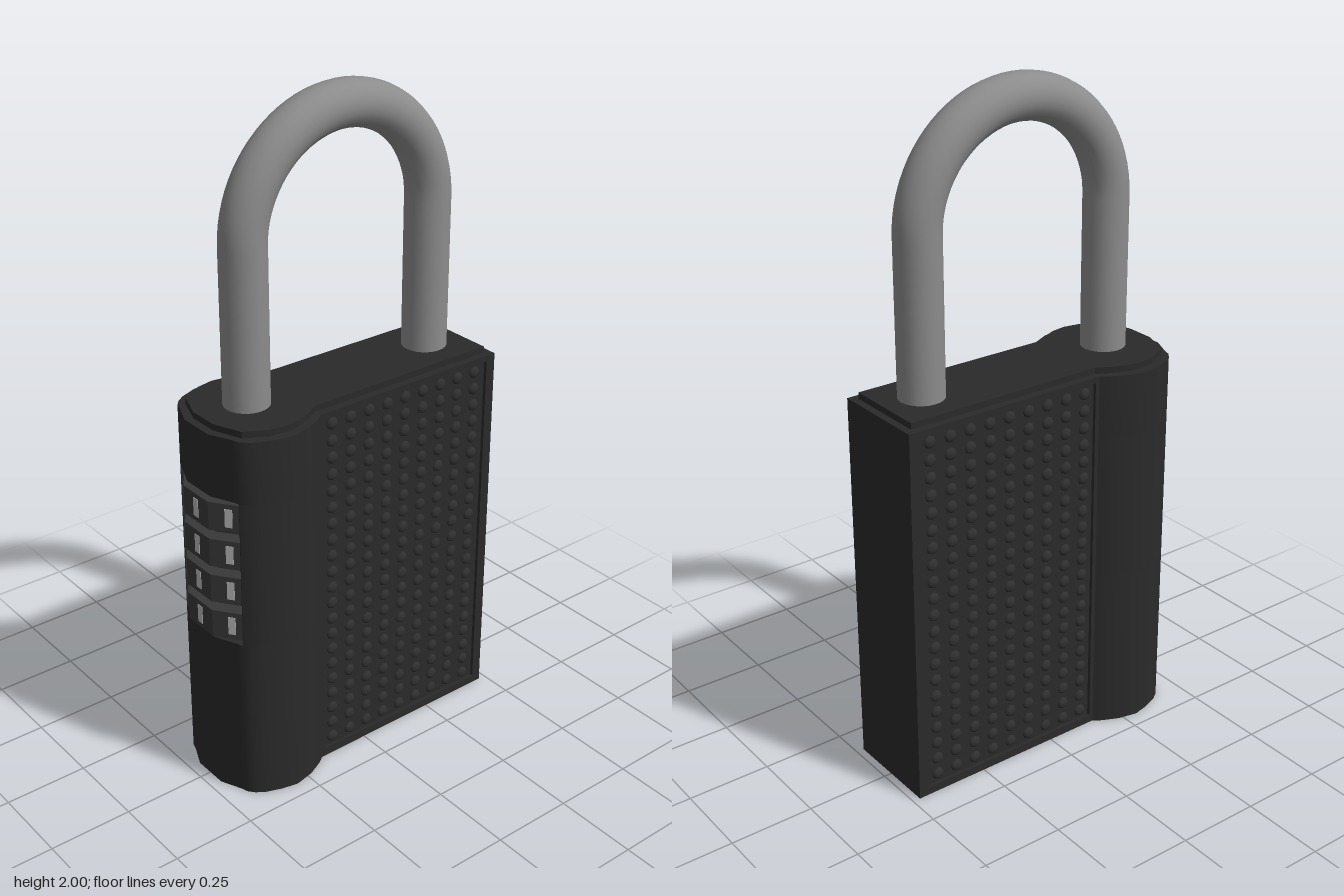
import * as THREE from 'three';
import { mergeGeometries, toCreasedNormals } from 'three/addons/utils/BufferGeometryUtils.js';

const BODY_TOP = 1.147, BARREL_Z = 0.298;

const material = (color, extra = {}) => new THREE.MeshStandardMaterial({ color, ...extra });

function addMesh(parent, name, geometry, mat) {
  const mesh = new THREE.Mesh(geometry, mat);
  mesh.name = name;
  parent.add(mesh);
  return mesh;
}

// Extrudes a mirrored plan outline, given as right half [x, z] from back to front
function slab(half, y0, y1) {
  const mirrored = [...half].reverse().map(([x, z]) => [-x, z]);
  const shape = new THREE.Shape([...half, ...mirrored].map(([x, z]) => new THREE.Vector2(x, -z)));
  const geo = new THREE.ExtrudeGeometry(shape, { depth: y1 - y0, bevelEnabled: false });
  geo.rotateX(-Math.PI / 2).translate(0, y0, 0);
  return toCreasedNormals(geo, 0.5);
}

export function createModel() {
  const group = new THREE.Group();
  const black = material(0x2a2a2a);
  const bumpBlack = material(0x303030);
  const dialBlack = material(0x383838, { flatShading: true });
  const steel = material(0x8c8c8c);
  const light = material(0xb8b8b8);

  // Body: narrow back and a rounded barrel at the front
  const side = [
    [0.14, -0.477], [0.14, 0.16], [0.15, 0.163], [0.165, 0.183], [0.19, 0.235],
    [0.203, 0.295], [0.192, 0.345], [0.175, 0.39], [0.158, 0.415], [0.14, 0.43],
  ];
  const solid = [...side, [0.12, 0.436], [0.055, 0.465]];
  const notched = [...side, [0.137, 0.43], [0.137, 0.38]];
  addMesh(group, 'lowerBody', slab(solid, 0, 0.508), black);
  addMesh(group, 'dialWindowBody', slab(notched, 0.508, 0.96), black);
  addMesh(group, 'upperBody', slab(solid, 0.96, BODY_TOP), black);

  // Inset top plate
  addMesh(group, 'topPlate', slab([
    [0.127, -0.455], [0.127, 0.165], [0.15, 0.205], [0.168, 0.25], [0.174, 0.295],
    [0.165, 0.345], [0.13, 0.41], [0.045, 0.442],
  ], BODY_TOP - 0.005, 1.166), black);

  // Side grips: a raised frame around a field of small domes
  const frame = new THREE.Shape([[-0.163, 0], [0.477, 0], [0.477, BODY_TOP], [-0.163, BODY_TOP]]
    .map((p) => new THREE.Vector2(...p)));
  frame.holes.push(new THREE.Path([[-0.15, 0.025], [-0.15, 1.13], [0.447, 1.13], [0.447, 0.025]]
    .map((p) => new THREE.Vector2(...p))));
  const frameGeo = new THREE.ExtrudeGeometry(frame, { depth: 0.011, bevelEnabled: false });
  frameGeo.rotateY(Math.PI / 2).translate(0.139, 0, 0);

  const dome = new THREE.SphereGeometry(0.019, 8, 3, 0, Math.PI * 2, 0, Math.PI / 2);
  dome.scale(1, 0.55, 1).rotateZ(-Math.PI / 2);
  const domes = [];
  for (let col = 0; col < 9; col++) {
    for (let row = 0; row < 21; row++) {
      domes.push(dome.clone().translate(0.14, 0.053 + row * 0.0525, 0.117 - col * 0.0655));
    }
  }
  const domeGeo = mergeGeometries(domes);
  for (const [name, turn] of [['left', 1], ['right', -1]]) {
    const grip = new THREE.Group();
    grip.name = name + 'Grip';
    addMesh(grip, name + 'GripFrame', frameGeo, black);
    addMesh(grip, name + 'GripDomes', domeGeo, bumpBlack);
    if (turn < 0) grip.scale.x = -1;
    group.add(grip);
  }

  // Ten-sided number dials, each with plain index ticks on its exposed faces
  const dialGeo = new THREE.CylinderGeometry(0.187, 0.187, 0.086, 10).rotateY(Math.PI / 10);
  const tickGeo = new THREE.BoxGeometry(0.022, 0.056, 0.004);
  for (let i = 0; i < 4; i++) {
    const dial = new THREE.Group();
    dial.name = 'dial' + (i + 1);
    dial.position.set(0, 0.562 + i * 0.1145, BARREL_Z);
    addMesh(dial, 'dialWheel', dialGeo, dialBlack);
    for (const k of [-1, 0, 1]) {
      const a = k * Math.PI / 5;
      const tick = addMesh(dial, 'indexTick', tickGeo, light);
      tick.position.set(0.1772 * Math.sin(a), 0, 0.1772 * Math.cos(a));
      tick.rotation.y = a;
    }
    group.add(dial);
  }

  // Thin spacers between the dials
  const spacerGeo = new THREE.CylinderGeometry(0.155, 0.155, 0.014, 10).rotateY(Math.PI / 10);
  for (let i = 0; i < 3; i++) {
    addMesh(group, 'dialSpacer', spacerGeo, black).position.set(0, 0.619 + i * 0.1145, BARREL_Z);
  }

  // Shackle: two straight legs joined by a half ring
  const bow = 0.317, tube = 0.066, midZ = -0.018, archY = 2 - bow - tube;
  const shackle = new THREE.Group();
  shackle.name = 'shackle';
  const arch = addMesh(shackle, 'shackleArch', new THREE.TorusGeometry(bow, tube, 24, 40, Math.PI), steel);
  arch.rotation.y = Math.PI / 2;
  arch.position.set(0, archY, midZ);
  const legGeo = new THREE.CylinderGeometry(tube, tube, archY - 1.14, 24, 1, true);
  for (const s of [1, -1]) {
    addMesh(shackle, s > 0 ? 'frontLeg' : 'backLeg', legGeo, steel)
      .position.set(0, (archY + 1.14) / 2, midZ + s * bow);
  }
  group.add(shackle);

  return group;
}
